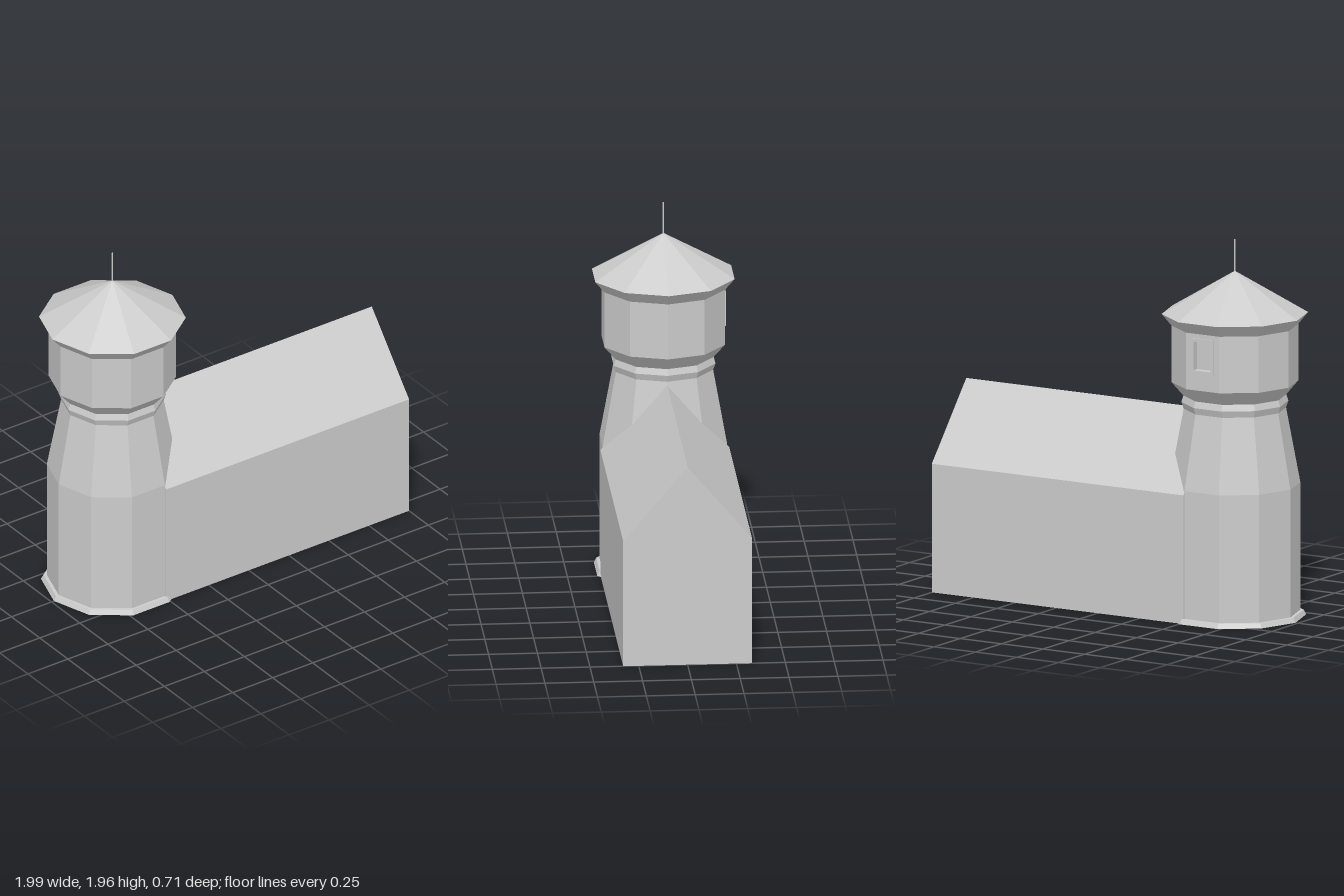
import * as THREE from 'three';

const TOWER_X = -0.62;
const SIDES = 10;
const grey = new THREE.MeshStandardMaterial({ color: 0xcccccc, flatShading: true });

function addPart(parent, name, geometry) {
  const flat = geometry.index ? geometry.toNonIndexed() : geometry;
  flat.computeVertexNormals();
  const mesh = new THREE.Mesh(flat, grey);
  mesh.name = name;
  parent.add(mesh);
  return mesh;
}

// Ten-sided ring of faces from a [radius, height] profile, corners on the x axis.
// With skipBack the face towards -z is left out.
function ring(profile, skipBack = false) {
  const points = profile.map(([r, y]) => new THREE.Vector2(r, y));
  const step = (Math.PI * 2) / SIDES;
  const count = skipBack ? SIDES - 1 : SIDES;
  return new THREE.LatheGeometry(points, count, Math.PI + step / 2, step * count);
}

function rectangle(Type, halfWidth, y0, y1) {
  const r = new Type();
  r.moveTo(-halfWidth, y0);
  r.lineTo(halfWidth, y0);
  r.lineTo(halfWidth, y1);
  r.lineTo(-halfWidth, y1);
  r.closePath();
  return r;
}

// Upright slab with a rectangular opening
function framedSlab(outer, inner, depth) {
  const shape = rectangle(THREE.Shape, ...outer);
  shape.holes.push(rectangle(THREE.Path, ...inner));
  return new THREE.ExtrudeGeometry(shape, { depth, bevelEnabled: false });
}

export function createModel() {
  const model = new THREE.Group();
  model.name = 'towerWithHall';

  // Gabled hall
  const gable = new THREE.Shape([
    [-0.33, 0], [0.33, 0], [0.33, 0.67], [0, 1.06], [-0.33, 0.67],
  ].map(([x, y]) => new THREE.Vector2(x, y)));
  const hall = new THREE.ExtrudeGeometry(gable, { depth: 1.517, bevelEnabled: false });
  hall.rotateY(Math.PI / 2);
  hall.translate(-0.517, 0, 0);
  addPart(model, 'hall', hall);

  // Tower, stacked from the ground up
  const tower = new THREE.Group();
  tower.name = 'tower';
  tower.position.x = TOWER_X;
  model.add(tower);

  addPart(tower, 'plinth', ring([[0, 0], [0.365, 0], [0.352, 0.025], [0.33, 0.025]]));
  addPart(tower, 'shaft', ring([[0.335, 0.02], [0.335, 0.69], [0.262, 1.08]]));
  addPart(tower, 'collar', ring([[0.262, 1.08], [0.274, 1.115], [0.263, 1.148]]));
  addPart(tower, 'flare', ring([[0.263, 1.148], [0.325, 1.22]]));
  addPart(tower, 'lookoutWalls', ring([[0.325, 1.22], [0.325, 1.515]], true));
  addPart(tower, 'eaves', ring([[0.325, 1.515], [0.375, 1.575]]));
  addPart(tower, 'roof', ring([[0.375, 1.575], [0, 1.795]]));

  const mast = new THREE.CylinderGeometry(0.004, 0.004, 0.18, 8);
  mast.translate(0, 1.87, 0);
  addPart(tower, 'mast', mast);

  // Back wall of the lookout with its recessed window
  const apothem = 0.325 * Math.cos(Math.PI / SIDES);
  const halfFace = 0.325 * Math.sin(Math.PI / SIDES);
  const opening = [0.052, 1.325, 1.475];
  const wall = framedSlab([halfFace, 1.22, 1.515], opening, 0.03);
  wall.translate(0, 0, -apothem);
  addPart(tower, 'windowWall', wall);

  const frame = framedSlab([0.066, 1.308, 1.492], opening, 0.006);
  frame.translate(0, 0, -apothem - 0.006);
  addPart(tower, 'windowFrame', frame);

  const pane = new THREE.BoxGeometry(0.12, 0.17, 0.01);
  pane.translate(0, 1.4, -apothem + 0.034);
  addPart(tower, 'windowPane', pane);

  return model;
}
